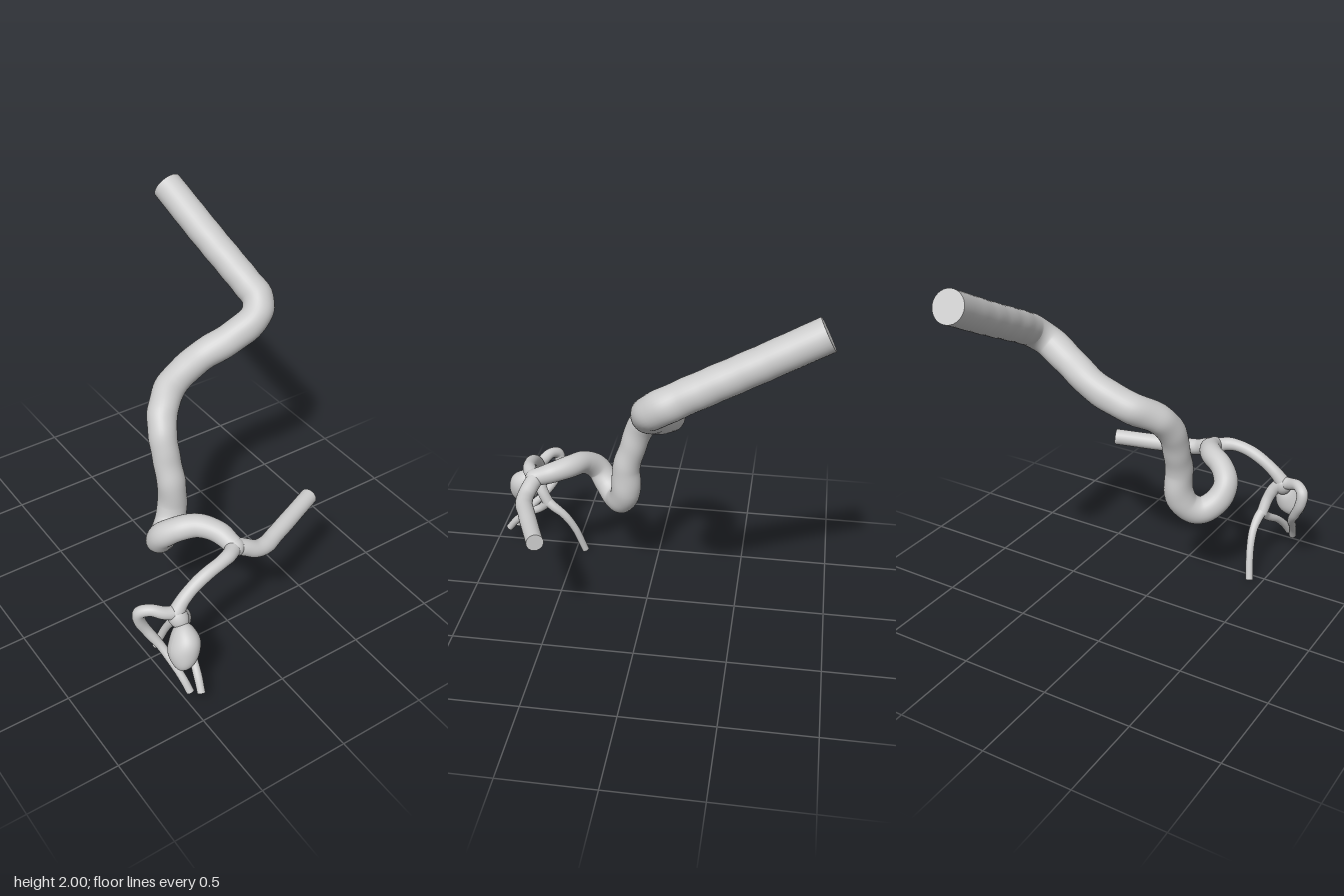
import * as THREE from 'three';

const material = new THREE.MeshStandardMaterial({ color: 0xcccccc, side: THREE.DoubleSide });

// Smooth unevenness of the vessel wall
const lump = (p) =>
  Math.sin(p.x * 31 + p.y * 17) * 0.5 + Math.sin(p.y * 37 - p.z * 29 + 1.3) * 0.5;

// Tube along points [x, y, z, radius]; radius eases between points, flat cap at chosen ends
function vessel(name, pts, { steps = 10, sides = 24, capStart = false, capEnd = true, wobble = 0.03 } = {}) {
  const curve = new THREE.CatmullRomCurve3(pts.map((p) => new THREE.Vector3(p[0], p[1], p[2])));
  const spans = pts.length - 1;
  const rows = spans * steps;
  const pos = [];
  const index = [];
  const normal = new THREE.Vector3(0.31, 0.2, 0.93);
  const binormal = new THREE.Vector3();
  const v = new THREE.Vector3();
  for (let i = 0; i <= rows; i++) {
    const t = i / rows;
    const k = Math.min(Math.floor(i / steps), spans - 1);
    const r0 = THREE.MathUtils.lerp(pts[k][3], pts[k + 1][3], THREE.MathUtils.smoothstep(i / steps - k, 0, 1));
    const c = curve.getPoint(t);
    const tangent = curve.getTangent(t);
    // carry the frame forward without twist
    normal.addScaledVector(tangent, -normal.dot(tangent)).normalize();
    binormal.crossVectors(tangent, normal);
    for (let j = 0; j < sides; j++) {
      const a = (j / sides) * Math.PI * 2;
      v.copy(normal).multiplyScalar(Math.cos(a)).addScaledVector(binormal, Math.sin(a));
      const end = Math.min(1, Math.min(i, rows - i) / steps);
      const r = r0 * (1 + wobble * end * lump(v.clone().multiplyScalar(r0).add(c)));
      v.multiplyScalar(r).add(c);
      pos.push(v.x, v.y, v.z);
      if (i < rows) {
        const a0 = i * sides + j;
        const a1 = i * sides + ((j + 1) % sides);
        index.push(a0, a1, a0 + sides, a1, a1 + sides, a0 + sides);
      }
    }
  }
  // caps use their own ring so the rim stays sharp
  const cap = (row, flip) => {
    const base = pos.length / 3;
    const c = curve.getPoint(row / rows);
    for (let j = 0; j < sides; j++) {
      const q = (row * sides + j) * 3;
      pos.push(pos[q], pos[q + 1], pos[q + 2]);
    }
    pos.push(c.x, c.y, c.z);
    for (let j = 0; j < sides; j++) {
      const a = base + j;
      const b = base + ((j + 1) % sides);
      if (flip) index.push(b, a, base + sides);
      else index.push(a, b, base + sides);
    }
  };
  if (capStart) cap(0, true);
  if (capEnd) cap(rows, false);

  const geo = new THREE.BufferGeometry();
  geo.setAttribute('position', new THREE.Float32BufferAttribute(pos, 3));
  geo.setIndex(index);
  geo.computeVertexNormals();
  const mesh = new THREE.Mesh(geo, material);
  mesh.name = name;
  return mesh;
}

// Lumpy ellipsoid, long axis along dir
function blob(name, center, scale, dir, amount) {
  const geo = new THREE.SphereGeometry(1, 40, 28);
  geo.scale(...scale);
  geo.applyQuaternion(new THREE.Quaternion().setFromUnitVectors(
    new THREE.Vector3(0, 1, 0), new THREE.Vector3(...dir).normalize()));
  const p = geo.attributes.position;
  const v = new THREE.Vector3();
  for (let i = 0; i < p.count; i++) {
    v.fromBufferAttribute(p, i);
    v.multiplyScalar(1 + amount * lump(v));
    p.setXYZ(i, v.x, v.y, v.z);
  }
  geo.computeVertexNormals();
  const mesh = new THREE.Mesh(geo, material);
  mesh.position.set(...center);
  mesh.name = name;
  return mesh;
}

export function createModel() {
  const model = new THREE.Group();
  model.name = 'arteryTree';

  // Trunk: straight inlet, S-bend, descent and the siphon loop up to the fork
  model.add(vessel('mainArtery', [
    [0.52, 1.922, -0.898, 0.086], [0.56, 1.754, -0.57, 0.086], [0.6, 1.6, -0.26, 0.086],
    [0.61, 1.54, -0.15, 0.087], [0.55, 1.475, -0.088, 0.085], [0.41, 1.39, -0.1, 0.085],
    [0.22, 1.3, -0.14, 0.083], [0.03, 1.215, -0.11, 0.084], [-0.075, 1.15, -0.025, 0.082],
    [-0.125, 1.05, 0.05, 0.077], [-0.13, 0.92, 0.095, 0.074], [-0.125, 0.78, 0.135, 0.077],
    [-0.125, 0.65, 0.135, 0.082], [-0.16, 0.56, 0.165, 0.082], [-0.23, 0.53, 0.21, 0.077],
    [-0.295, 0.58, 0.275, 0.073], [-0.312, 0.66, 0.33, 0.068], [-0.25, 0.725, 0.395, 0.065],
    [-0.16, 0.745, 0.455, 0.062], [-0.1, 0.732, 0.54, 0.058], [-0.075, 0.705, 0.64, 0.05],
  ], { steps: 8, sides: 32, capStart: true, capEnd: false }));
  model.add(blob('fork', [-0.075, 0.702, 0.645], [0.05, 0.05, 0.05], [0, 1, 0], 0));

  // Left branch with a straight outlet
  model.add(vessel('leftBranch', [
    [-0.085, 0.71, 0.63, 0.045], [-0.02, 0.68, 0.655, 0.046], [0.04, 0.65, 0.67, 0.046],
    [0.11, 0.64, 0.663, 0.047], [0.2, 0.645, 0.628, 0.047], [0.512, 0.668, 0.505, 0.046],
  ]));

  // Right branch to the cluster of small vessels
  model.add(vessel('rightBranch', [
    [-0.07, 0.7, 0.635, 0.045], [-0.14, 0.71, 0.685, 0.038], [-0.2, 0.705, 0.703, 0.035],
    [-0.28, 0.685, 0.71, 0.035], [-0.37, 0.64, 0.712, 0.035], [-0.44, 0.585, 0.717, 0.036],
    [-0.485, 0.53, 0.725, 0.042],
  ], { capEnd: false }));

  // Bulging sac and its neck
  model.add(blob('sac', [-0.5, 0.385, 0.82], [0.078, 0.122, 0.09], [0.065, 0.17, -0.07], 0.05));
  model.add(blob('sacNeck', [-0.48, 0.505, 0.735], [0.05, 0.07, 0.05], [-0.03, 0.12, -0.09], 0.05));

  // Vessel arching outward, then down
  model.add(vessel('archedVessel', [
    [-0.48, 0.53, 0.725, 0.038], [-0.54, 0.545, 0.71, 0.034], [-0.6, 0.567, 0.672, 0.031],
    [-0.643, 0.545, 0.637, 0.032], [-0.64, 0.48, 0.63, 0.031], [-0.605, 0.4, 0.65, 0.028],
    [-0.56, 0.315, 0.705, 0.024], [-0.535, 0.24, 0.78, 0.022], [-0.515, 0.17, 0.84, 0.021],
    [-0.5, 0.105, 0.88, 0.021],
  ], { sides: 18 }));

  // Short stem that splits into two outlets
  model.add(vessel('stem', [
    [-0.48, 0.53, 0.72, 0.04], [-0.435, 0.48, 0.71, 0.036], [-0.408, 0.42, 0.69, 0.033],
    [-0.395, 0.34, 0.65, 0.032],
  ], { sides: 18, capEnd: false }));
  model.add(vessel('rearOutlet', [
    [-0.398, 0.36, 0.665, 0.03], [-0.388, 0.325, 0.62, 0.028], [-0.388, 0.27, 0.555, 0.024],
    [-0.402, 0.17, 0.495, 0.022], [-0.43, 0.01, 0.442, 0.021],
  ], { sides: 18 }));
  model.add(vessel('frontOutlet', [
    [-0.395, 0.355, 0.65, 0.031], [-0.405, 0.3, 0.7, 0.025], [-0.43, 0.235, 0.8, 0.022],
    [-0.445, 0.175, 0.865, 0.022], [-0.458, 0.105, 0.918, 0.021],
  ], { sides: 18 }));

  return model;
}
